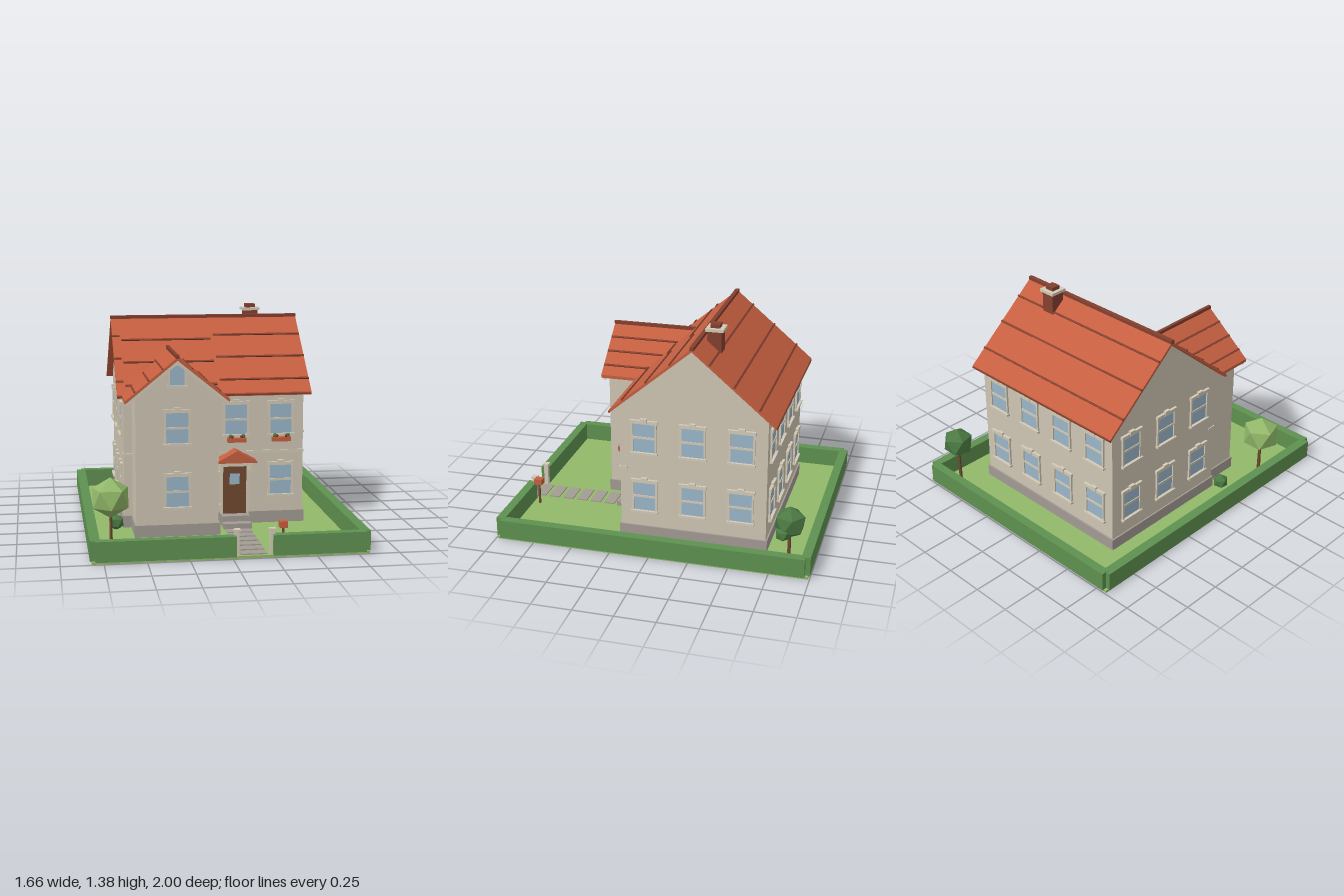
import * as THREE from 'three';

const mat = (name, color, side = THREE.FrontSide) => {
  const m = new THREE.MeshStandardMaterial({ color, side, flatShading: true });
  m.name = name;
  return m;
};

export function createModel() {
  const M = {
    wall: mat('wall plaster', 0xcfc5b2), trim: mat('pale trim', 0xd3cab6),
    roof: mat('roof tile', 0xc55f40), dark: mat('dark brick', 0x84402f),
    glass: mat('window glass', 0x9ab6c9), grass: mat('light green', 0x92b869),
    hedge: mat('hedge green', 0x5e9150), leaf: mat('dark foliage', 0x4c7a43),
    stone: mat('stone', 0xa39b94), wood: mat('wood', 0x71492f),
  };
  const root = new THREE.Group();
  root.name = 'house and garden';
  const add = (name, geo, m, parent = root) => {
    const mesh = new THREE.Mesh(geo, m);
    mesh.name = name;
    parent.add(mesh);
    return mesh;
  };
  const group = (name, x = 0, y = 0, z = 0) => {
    const g = new THREE.Group();
    g.name = name;
    g.position.set(x, y, z);
    root.add(g);
    return g;
  };
  // Box from its minimum and maximum corners
  const box = (name, m, x0, x1, y0, y1, z0, z1, parent = root) => {
    const b = add(name, new THREE.BoxGeometry(x1 - x0, y1 - y0, z1 - z0), m, parent);
    b.position.set((x0 + x1) / 2, (y0 + y1) / 2, (z0 + z1) / 2);
    return b;
  };
  // Outline in the xy plane, extruded along z
  const prism = (pts, depth) => new THREE.ExtrudeGeometry(
    new THREE.Shape(pts.map(p => new THREE.Vector2(...p))), { depth, bevelEnabled: false });
  // Sloping slab from four top corners, counter-clockwise seen from above
  const slab = (top, t) => {
    const low = top.map(([x, y, z]) => [x, y - t, z]);
    const pos = [];
    const quad = (a, b, c, d) => pos.push(...a, ...b, ...c, ...a, ...c, ...d);
    quad(...top);
    quad(low[3], low[2], low[1], low[0]);
    for (let i = 0; i < 4; i++) {
      const j = (i + 1) % 4;
      quad(low[i], low[j], top[j], top[i]);
    }
    const g = new THREE.BufferGeometry();
    g.setAttribute('position', new THREE.Float32BufferAttribute(pos, 3));
    g.computeVertexNormals();
    return g;
  };

  // Ground and hedges
  box('lawn', M.grass, -0.82, 0.82, 0, 0.015, -0.99, 0.99);
  for (const s of [-1, 1]) {
    const x = s * 0.8;
    box('side hedge', M.hedge, x - 0.03, x + 0.03, 0.012, 0.133, -0.97, 0.97);
  }
  box('back hedge', M.hedge, -0.8, 0.8, 0.012, 0.135, -1, -0.945);
  box('front hedge left of gate', M.hedge, -0.8, 0.02, 0.012, 0.135, 0.945, 1);
  box('front hedge right of gate', M.hedge, 0.24, 0.8, 0.012, 0.135, 0.945, 1);

  // Main walls and front wing
  const zc = -0.22, xc = -0.266;
  const mainWall = add('main walls', prism(
    [[-0.464, 0.01], [0.464, 0.01], [0.464, 0.893], [0, 1.287], [-0.464, 0.893]], 1.15), M.wall);
  mainWall.rotation.y = Math.PI / 2;
  mainWall.position.set(-0.575, 0, zc);
  const wing = add('wing walls', prism(
    [[-0.256, 0.01], [0.256, 0.01], [0.256, 0.9], [0, 1.108], [-0.256, 0.9]], 0.28), M.wall);
  wing.position.set(xc, 0, 0.22);
  box('main plinth', M.stone, -0.585, 0.585, 0.012, 0.09, -0.694, 0.254);
  box('wing plinth', M.stone, xc - 0.266, xc + 0.266, 0.012, 0.09, 0.2, 0.51);
  box('string course', M.trim, -0.58, 0.58, 0.472, 0.49, 0.2, 0.251);

  // Main roof
  const mainY = z => 1.31 - 0.846 * Math.abs(z - zc);
  const X0 = -0.617, X1 = 0.615;
  add('main roof front', slab([[X0, 0.87, 0.3], [X1, 0.87, 0.3], [X1, 1.31, zc], [X0, 1.31, zc]], 0.02), M.roof);
  add('main roof back', slab([[X1, 0.87, -0.74], [X0, 0.87, -0.74], [X0, 1.31, zc], [X1, 1.31, zc]], 0.02), M.roof);
  box('main ridge cap', M.dark, X0 - 0.003, X1 + 0.003, 1.298, 1.32, zc - 0.013, zc + 0.013);
  box('front eave edge', M.dark, X0, X1, 0.853, 0.864, 0.292, 0.303);
  box('back eave edge', M.dark, X0, X1, 0.853, 0.864, -0.743, -0.732);
  const tileRow = (x0, x1, z) => {
    const r = box('tile row', M.dark, x0, x1, -0.006, 0.006, -0.006, 0.006);
    r.position.set((x0 + x1) / 2, mainY(z) + 0.002, z);
    r.rotation.x = Math.sign(z - zc) * 0.702;
  };
  for (const z of [-0.085, 0.065, 0.215]) {
    tileRow(0.04, X1, z);
    tileRow(X0, -0.57, z);
    tileRow(-0.56, 0.02, z + 0.027);
  }
  for (const z of [-0.635, -0.48, -0.33]) tileRow(X0, X1, z);

  // Wing roof, cut along the valleys
  for (const s of [-1, 1]) {
    const ex = xc + s * 0.32;
    const ridgeF = [xc, 1.13, 0.535], ridgeB = [xc, 1.13, -0.015];
    const eaveF = [ex, 0.87, 0.535], eaveB = [ex, 0.87, 0.292];
    add('wing roof slope', slab(s > 0 ? [ridgeF, eaveF, eaveB, ridgeB]
      : [eaveF, ridgeF, ridgeB, eaveB], 0.02), M.roof);
    for (const d of [0.09, 0.175, 0.26]) {
      const y = 1.13 - 0.8125 * d;
      const zb = zc + (1.31 - y) / 0.846;
      const r = box('wing tile row', M.dark, -0.006, 0.006, -0.005, 0.005, zb, 0.533);
      r.position.x = xc + s * d;
      r.position.y = y + 0.002;
      r.rotation.z = -s * 0.682;
    }
  }
  box('wing ridge cap', M.dark, xc - 0.01, xc + 0.01, 1.12, 1.143, -0.02, 0.537);
  const barge = add('barge boards', prism([[0, 1.112], [-0.31, 0.86], [-0.31, 0.835],
    [0, 1.085], [0.31, 0.835], [0.31, 0.86]], 0.02), M.trim);
  barge.position.set(xc, 0, 0.505);
  const apex = add('gable apex trim', prism([[-0.04, 1.077], [0.04, 1.077], [0, 1.11]], 0.012), M.trim);
  apex.position.set(xc, 0, 0.498);

  // Chimney
  box('chimney stack', M.dark, 0.278, 0.367, 1.1, 1.345, -0.342, -0.253);
  box('chimney cap', M.trim, 0.264, 0.378, 1.342, 1.36, -0.355, -0.242);
  box('chimney pot', M.dark, 0.29, 0.352, 1.36, 1.383, -0.328, -0.268);

  // Sash window facing +z, turned to its wall
  const sash = (x, y, z, turn = 0, w = 0.14, h = 0.19, attic = false) => {
    const g = group('window', x, y, z);
    g.rotation.y = turn;
    const a = w / 2, b = h / 2;
    box('pane', M.glass, -a, a, -b, b, -0.002, 0.004, g);
    for (const s of [-1, 1]) {
      const jx = s * (a + 0.005);
      box('jamb', M.trim, jx - 0.006, jx + 0.006, -b, b, 0, 0.012, g);
    }
    box('sill', M.trim, -a - 0.017, a + 0.017, -b - 0.014, -b, 0, 0.022, g);
    if (attic) {
      box('head', M.trim, -a - 0.011, a + 0.011, b, b + 0.01, 0, 0.012, g);
      return;
    }
    box('meeting rail', M.trim, -a, a, -0.007, 0.007, 0, 0.009, g);
    box('lintel', M.trim, -a - 0.017, a + 0.017, b, b + 0.022, 0, 0.017, g);
    box('keystone', M.trim, -0.02, 0.02, b + 0.002, b + 0.034, 0, 0.02, g);
  };
  for (const y of [0.296, 0.693]) {
    sash(xc, y, 0.5);
    sash(0.43, y, 0.244);
    for (const x of [-0.43, -0.145, 0.145, 0.43]) sash(x, y, -0.684, Math.PI);
    for (const z of [0.088, -0.22, -0.525]) for (const s of [-1, 1]) sash(s * 0.575, y, z, s * Math.PI / 2);
  }
  sash(0.14, 0.693, 0.244);
  sash(xc + 0.256, 0.28, 0.367, Math.PI / 2, 0.1, 0.19);
  sash(xc, 1.015, 0.5, 0, 0.09, 0.12, true);

  // Flower boxes
  for (const x of [0.142, 0.43]) {
    box('flower box', M.roof, x - 0.06, x + 0.06, 0.549, 0.576, 0.247, 0.285);
    for (const s of [-1, 1]) {
      const plant = add('plant', new THREE.IcosahedronGeometry(0.015, 0), M.leaf);
      plant.position.set(x + s * 0.042, 0.587, 0.266);
      const bloom = add('bloom', new THREE.IcosahedronGeometry(0.011, 0), M.dark);
      bloom.position.set(x + s * 0.03, 0.585, 0.272);
    }
  }

  // Front door, canopy and steps
  const dx = 0.13;
  box('door frame', M.trim, dx - 0.092, dx + 0.092, 0.08, 0.41, 0.24, 0.256);
  box('door', M.wood, dx - 0.075, dx + 0.075, 0.083, 0.39, 0.25, 0.262);
  box('door pane', M.glass, dx - 0.032, dx + 0.032, 0.275, 0.345, 0.26, 0.266);
  const knob = add('door knob', new THREE.IcosahedronGeometry(0.007, 0), M.dark);
  knob.position.set(dx + 0.05, 0.225, 0.266);
  box('door entablature', M.trim, dx - 0.1, dx + 0.1, 0.395, 0.43, 0.24, 0.285);
  for (const s of [-1, 1]) {
    const x = dx + s * 0.094;
    box('canopy bracket', M.trim, x - 0.01, x + 0.01, 0.37, 0.43, 0.24, 0.33);
  }
  const canopy = add('canopy', prism([[-0.13, 0.43], [0.13, 0.43], [0.13, 0.437], [0, 0.508], [-0.13, 0.437]], 0.115), M.roof);
  canopy.position.set(dx, 0, 0.24);
  box('top step', M.stone, dx - 0.09, dx + 0.09, 0.012, 0.083, 0.24, 0.33);
  box('low step', M.stone, dx - 0.09, dx + 0.09, 0.012, 0.048, 0.33, 0.39);

  // Path, gate posts and letter box
  for (let i = 0; i < 6; i++) {
    const z = 0.415 + i * 0.097;
    box('path slab', M.stone, 0.05, 0.207, 0.01, 0.022, z, z + 0.07);
  }
  for (const x of [0.027, 0.238]) {
    box('gate post', M.trim, x - 0.014, x + 0.014, 0.01, 0.16, 0.945, 0.973);
    box('gate post cap', M.trim, x - 0.02, x + 0.02, 0.158, 0.17, 0.939, 0.979);
  }
  box('letter box post', M.wood, 0.308, 0.32, 0.01, 0.16, 0.894, 0.906);
  box('letter box', M.roof, 0.29, 0.338, 0.157, 0.195, 0.873, 0.927);

  // Trees and shrubs
  const ball = (name, m, r, x, y, z, turn) => {
    const g = new THREE.IcosahedronGeometry(r, 0).rotateZ(-0.5536).rotateY(turn);
    add(name, g, m).position.set(x, y, z);
  };
  const trunk = (x, z) => {
    const t = add('trunk', new THREE.CylinderGeometry(0.009, 0.012, 0.22, 6), M.wood);
    t.position.set(x, 0.12, z);
  };
  trunk(-0.685, 0.615);
  ball('front tree crown', M.grass, 0.125, -0.685, 0.3, 0.615, 0.3);
  trunk(0.69, -0.85);
  ball('back tree crown', M.leaf, 0.103, 0.69, 0.3, -0.85, 0.3);
  ball('back tree small crown', M.leaf, 0.048, 0.75, 0.245, -0.82, 0.8);
  ball('shrub', M.leaf, 0.052, -0.63, 0.06, 0.28, 0.5);
  return root;
}
